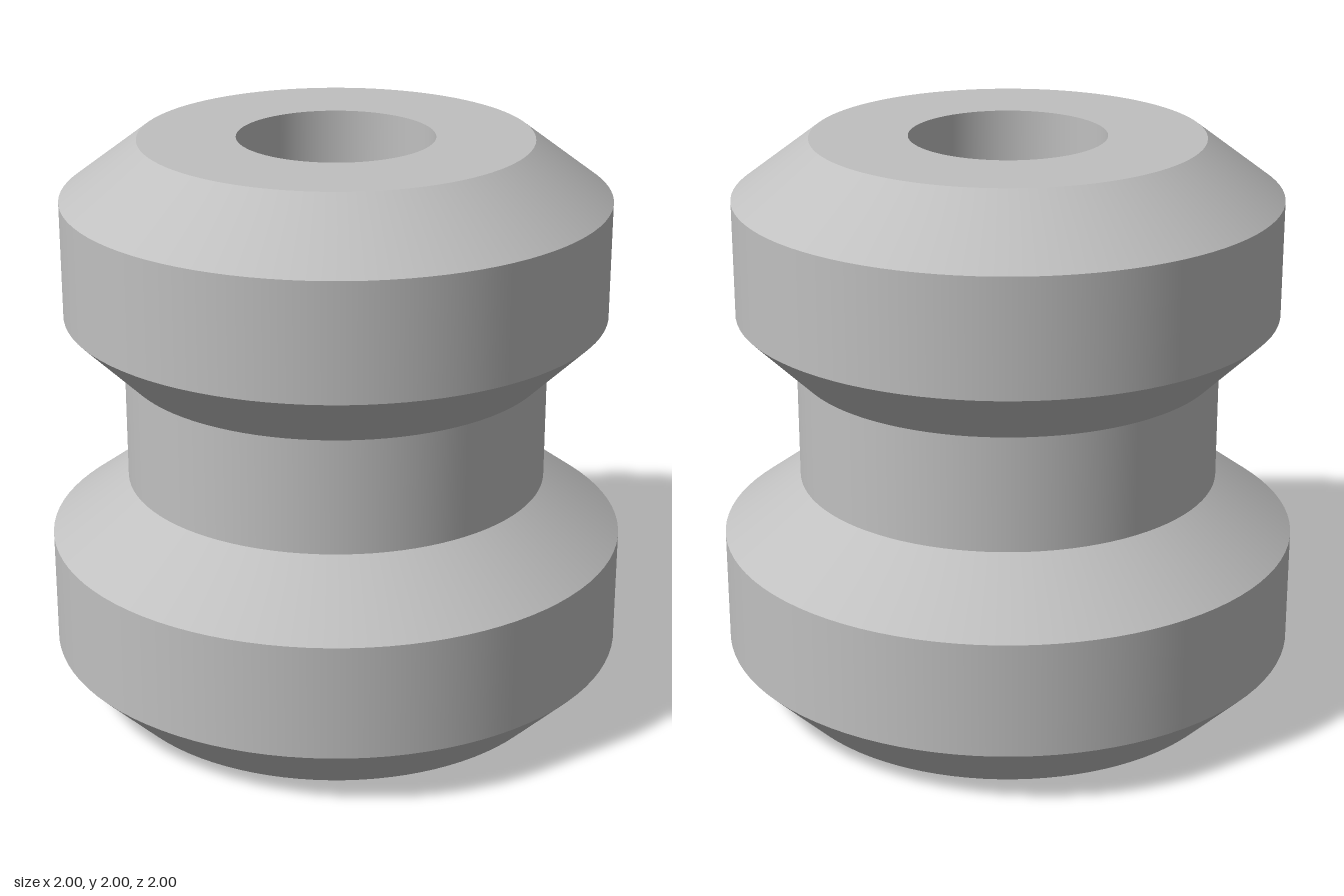
import * as THREE from 'three';
import { mergeGeometries } from 'three/addons/utils/BufferGeometryUtils.js';

const SEGMENTS = 96;

// Revolve each straight run separately, so edges between runs stay sharp
function revolve(profile) {
  const runs = [];
  for (let i = 0; i < profile.length - 1; i++) {
    const ends = [profile[i], profile[i + 1]].map(([r, y]) => new THREE.Vector2(r, y));
    runs.push(new THREE.LatheGeometry(ends, SEGMENTS));
  }
  return mergeGeometries(runs);
}

export function createModel() {
  const group = new THREE.Group();
  group.name = 'bushing';

  const grey = new THREE.MeshStandardMaterial({ color: 0xc0c0c0 });
  grey.name = 'grey';

  // Each profile is [radius, height], running so the surfaces face outwards
  const parts = {
    lowerFlange: [[0.335, 0], [0.8, 0], [1, 0.2], [1, 0.6], [0.73, 0.8]],
    neck: [[0.73, 0.8], [0.73, 1.2]],
    upperFlange: [[0.73, 1.2], [0.932, 1.4], [0.932, 1.8], [0.667, 2], [0.335, 2]],
    bore: [[0.335, 2], [0.335, 0]],
  };

  for (const [name, profile] of Object.entries(parts)) {
    const mesh = new THREE.Mesh(revolve(profile), grey);
    mesh.name = name;
    group.add(mesh);
  }
  return group;
}
